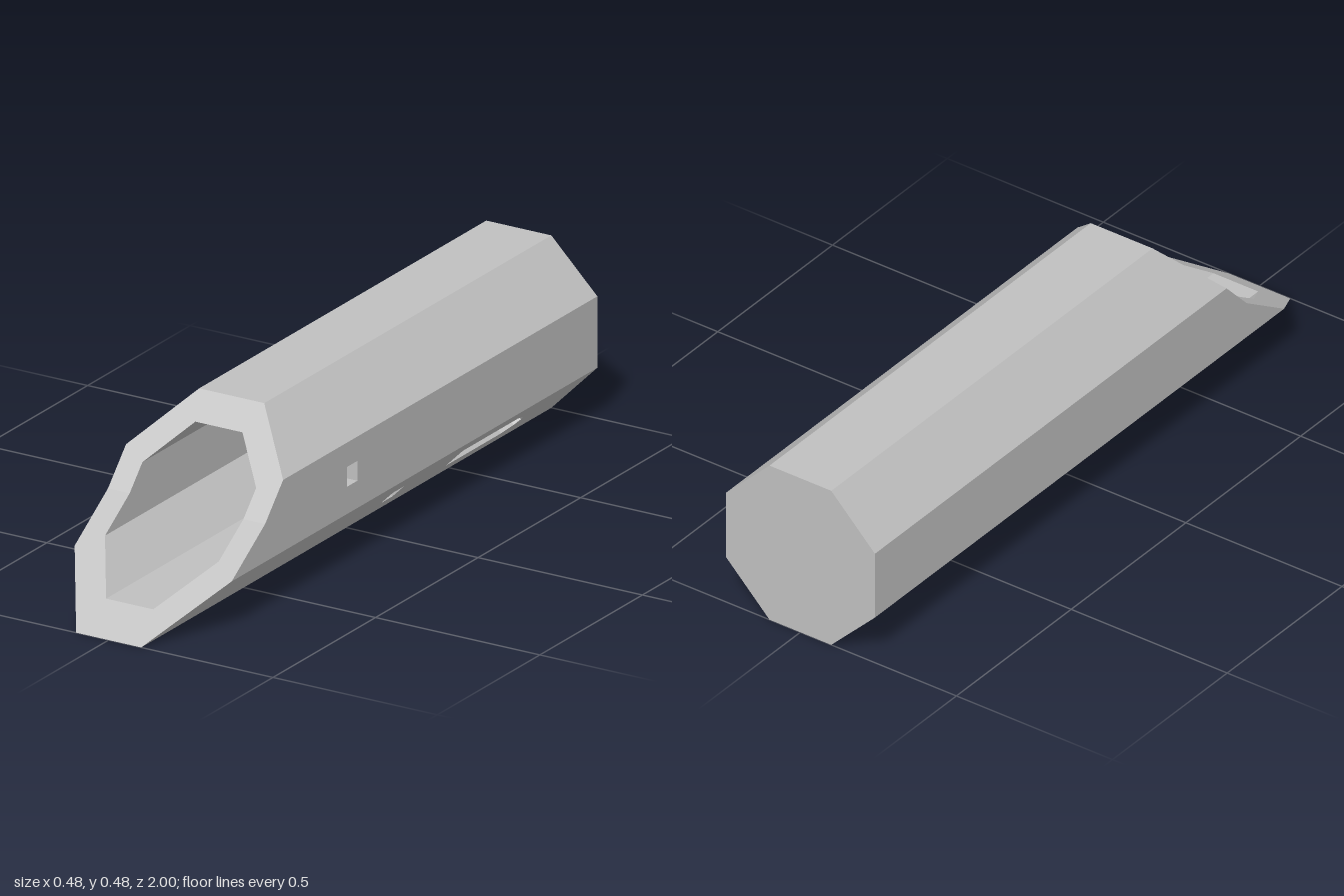
import * as THREE from 'three';

const CY = 0.239, OUTER = 0.239, INNER = 0.173, WALL = OUTER - INNER;
const BACK = -1, INNER_BACK = BACK + WALL;
const KINK_Y = 0.245;

// front edge position for a height: two slanted cuts meeting at KINK_Y
const cutZ = y => y < KINK_Y
  ? 1 - 0.38 * y / KINK_Y
  : 0.62 - 0.22 * (y - KINK_Y) / (2 * CY - KINK_Y);

// octagon corners, counter-clockwise seen from the front, starting at the bottom left
function octagon(apothem) {
  const r = apothem / Math.cos(Math.PI / 8);
  return Array.from({ length: 8 }, (_, i) => {
    const a = -Math.PI / 2 - Math.PI / 8 + i * Math.PI / 4;
    return new THREE.Vector2(r * Math.cos(a), CY + r * Math.sin(a));
  });
}

const rect = (s, z, w, l) => [[s - w / 2, z - l / 2], [s + w / 2, z - l / 2], [s + w / 2, z + l / 2], [s - w / 2, z + l / 2]];

// openings per side, as (offset across the side, z)
const openings = {
  0: [['pinHole', rect(0.06, 0.19, 0.02, 0.03)], ['pinHole', rect(-0.06, 0.19, 0.02, 0.03)]],
  1: [
    ['smallPort', rect(-0.01, -0.125, 0.05, 0.055)],
    ['slot', [[-0.042, -0.42], [-0.042, -0.69], [-0.024, -0.732], [-0.005, -0.745], [0.014, -0.732], [0.032, -0.69], [0.032, -0.42]]],
  ],
  2: [['sideWindow', rect(0.004, 0.195, 0.055, 0.05)]],
};

// places (across, along z, outward) coordinates on the side from p to q
function sideMatrix(p, q) {
  const e = q.clone().sub(p).normalize();
  const m = new THREE.Matrix4().makeBasis(
    new THREE.Vector3(e.x, e.y, 0), new THREE.Vector3(0, 0, 1), new THREE.Vector3(e.y, -e.x, 0));
  return m.setPosition((p.x + q.x) / 2, (p.y + q.y) / 2, 0);
}

// flat side with slanted front edge and cut-outs
function panel(p, q, back, holes) {
  const h = p.distanceTo(q) / 2;
  const pts = [[-h, back], [h, back], [h, cutZ(q.y)]];
  if ((p.y - KINK_Y) * (q.y - KINK_Y) < 0) {
    const t = (KINK_Y - p.y) / (q.y - p.y);
    pts.push([-h + 2 * h * t, cutZ(KINK_Y)]);
  }
  pts.push([-h, cutZ(p.y)]);
  const toV = a => new THREE.Vector2(a[0], a[1]);
  const shape = new THREE.Shape(pts.map(toV));
  holes.forEach(o => shape.holes.push(new THREE.Path(o.map(toV))));
  return new THREE.ShapeGeometry(shape).applyMatrix4(sideMatrix(p, q));
}

// separate quads with flat normals, each given as four corners
function quads(list) {
  const pos = [];
  list.forEach(([a, b, c, d]) => [a, b, c, a, c, d].forEach(v => pos.push(...v)));
  const g = new THREE.BufferGeometry();
  g.setAttribute('position', new THREE.Float32BufferAttribute(pos, 3));
  g.computeVertexNormals();
  return g;
}

// closed ring of front edge points, with the extra kink points on both upright sides
function frontRing(corners) {
  const ring = [];
  corners.forEach((p, i) => {
    const q = corners[(i + 1) % 8];
    ring.push([p.x, p.y, cutZ(p.y)]);
    if ((p.y - KINK_Y) * (q.y - KINK_Y) < 0) ring.push([p.x, KINK_Y, cutZ(KINK_Y)]);
  });
  return ring;
}

export function createModel() {
  const group = new THREE.Group();
  const grey = new THREE.MeshStandardMaterial({ color: 0xc0c0c0, side: THREE.DoubleSide });
  grey.name = 'plainGrey';
  const add = (name, geometry) => {
    const mesh = new THREE.Mesh(geometry, grey);
    mesh.name = name;
    group.add(mesh);
    return mesh;
  };

  const out = octagon(OUTER), inn = octagon(INNER);
  for (let i = 0; i < 8; i++) {
    const j = (i + 1) % 8, holes = openings[i] || [];
    add('outerSide', panel(out[i], out[j], BACK, holes.map(h => h[1])));
    // inner side faces the other way, so offsets flip
    add('innerSide', panel(inn[j], inn[i], INNER_BACK, holes.map(h => h[1].map(([s, z]) => [-s, z]))));
    // walls through the thickness of each opening
    holes.forEach(([name, pts]) => {
      const loop = THREE.ShapeUtils.area(pts.map(a => new THREE.Vector2(...a))) > 0 ? pts : [...pts].reverse();
      const walls = loop.map((a, k) => {
        const b = loop[(k + 1) % loop.length];
        return [[...a, 0], [...b, 0], [...b, -WALL], [...a, -WALL]];
      });
      add(name, quads(walls).applyMatrix4(sideMatrix(out[i], out[j])));
    });
  }

  // slanted rim joining outer and inner walls
  const ro = frontRing(out), ri = frontRing(inn);
  add('frontRim', quads(ro.map((a, k) => {
    const n = (k + 1) % ro.length;
    return [a, ro[n], ri[n], ri[k]];
  })));

  // closed back end
  add('backCap', new THREE.ShapeGeometry(new THREE.Shape(out)).rotateY(Math.PI).translate(0, 0, BACK));
  add('innerBackWall', new THREE.ShapeGeometry(new THREE.Shape(inn)).translate(0, 0, INNER_BACK));
  return group;
}
